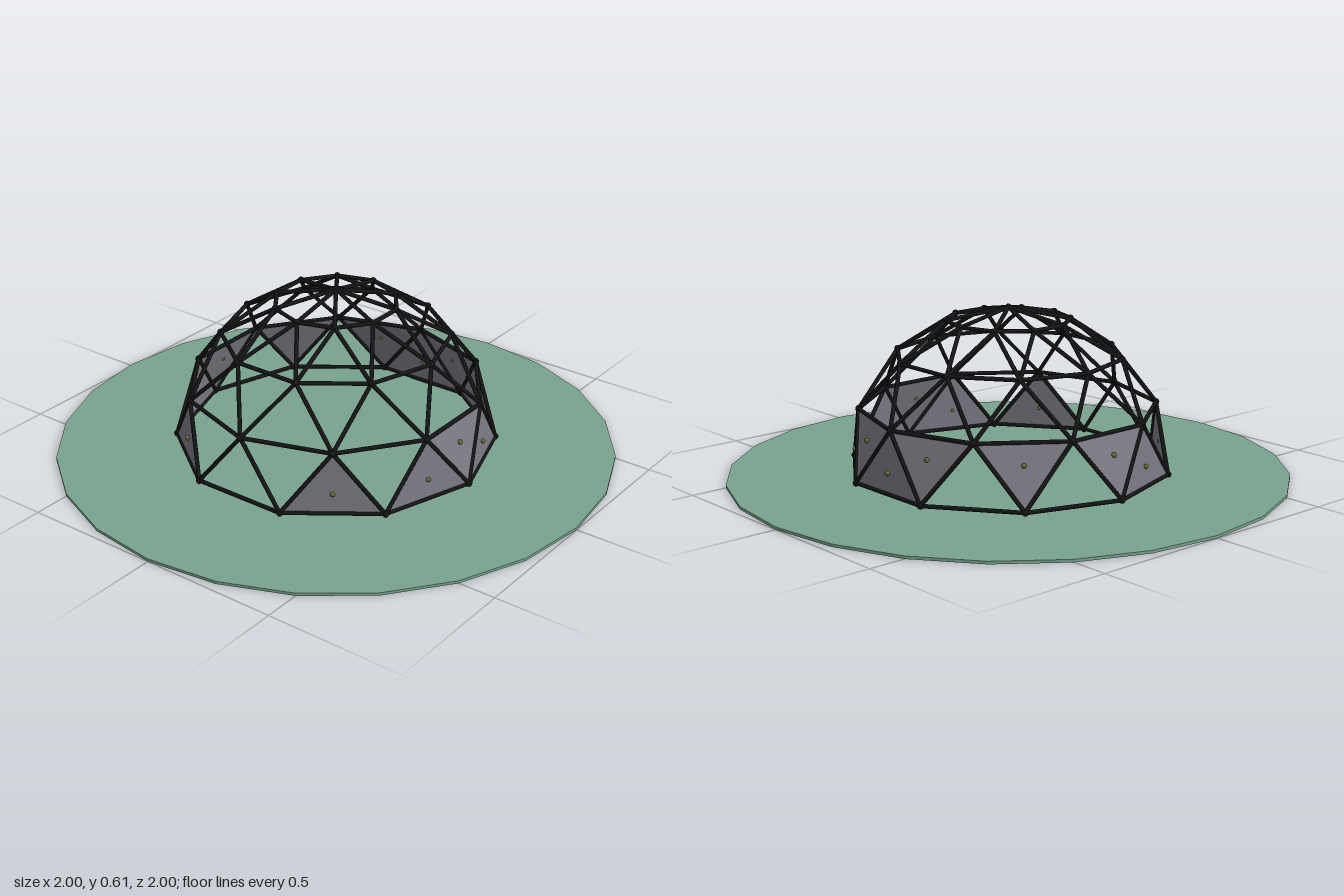
import * as THREE from 'three';

const flat = (name, color, extra = {}) => {
  const m = new THREE.MeshStandardMaterial({ color, ...extra });
  m.name = name;
  return m;
};

export function createModel() {
  const model = new THREE.Group();
  model.name = 'climbingDome';
  const green = flat('groundGreen', 0x78a38e, { flatShading: true });
  const black = flat('frameBlack', 0x141416);
  const grey = flat('panelGrey', 0x7a7a84, { side: THREE.DoubleSide });
  const olive = flat('holdOlive', 0x6e6c34);

  const add = (parent, name, geometry, material) => {
    const mesh = new THREE.Mesh(geometry, material);
    mesh.name = name;
    parent.add(mesh);
    return mesh;
  };
  const group = (name) => {
    const g = new THREE.Group();
    g.name = name;
    model.add(g);
    return g;
  };

  // Ground pad
  const pad = add(model, 'groundPad', new THREE.CylinderGeometry(1, 1, 0.01, 24), green);
  pad.position.y = 0.005;

  // Dome points: four rings, 22.5 degrees of latitude apart
  const R = 0.573, baseY = 0.027, rings = 4, sides = 10;
  const point = (ring, azimuth) => {
    const lat = THREE.MathUtils.degToRad(22.5 * ring);
    const a = THREE.MathUtils.degToRad(azimuth);
    return new THREE.Vector3(
      R * Math.sin(lat) * Math.cos(a),
      baseY + R * Math.cos(lat),
      R * Math.sin(lat) * Math.sin(a)
    );
  };

  // Struts and ball joints
  const struts = group('struts');
  const joints = group('joints');
  const jointGeometry = new THREE.SphereGeometry(0.012, 10, 8);
  const up = new THREE.Vector3(0, 1, 0);
  const strut = (a, b) => {
    const dir = b.clone().sub(a);
    const length = dir.length();
    const mesh = add(struts, 'strut', new THREE.CylinderGeometry(0.0075, 0.0075, length, 8), black);
    mesh.position.copy(a).lerp(b, 0.5);
    mesh.quaternion.setFromUnitVectors(up, dir.normalize());
  };
  const joint = (p) => add(joints, 'joint', jointGeometry, black).position.copy(p);

  const apex = point(0, 0);
  joint(apex);
  for (let ring = 1; ring <= rings; ring++) {
    for (let i = 0; i < sides; i++) {
      const azimuth = i * 36 + (ring % 2 ? 18 : 0);
      const p = point(ring, azimuth);
      joint(p);
      strut(p, point(ring, azimuth + 36));
      if (ring === 1) strut(apex, p);
      else for (const s of [-18, 18]) strut(p, point(ring - 1, azimuth + s));
    }
  }

  // Triangular climbing panels in the lowest row, each with a hold
  const panels = group('panels');
  const holds = group('holds');
  const holdGeometry = new THREE.SphereGeometry(0.009, 8, 6);
  const panel = (tip, left, right) => {
    const g = new THREE.BufferGeometry().setFromPoints([tip, left, right]);
    g.computeVertexNormals();
    add(panels, 'climbingPanel', g, grey);
    const normal = new THREE.Triangle(tip, left, right).getNormal(new THREE.Vector3());
    const centre = tip.clone().add(left).add(right).divideScalar(3);
    add(holds, 'climbingHold', holdGeometry, olive).position.copy(centre).addScaledVector(normal, 0.005);
  };
  for (const a of [-18, 18, 54, 126, 162, 270, 306]) {
    panel(point(3, a), point(4, a + 18), point(4, a - 18));
  }
  for (const a of [0, 180, 216, 252, 288]) {
    panel(point(4, a), point(3, a - 18), point(3, a + 18));
  }
  return model;
}
